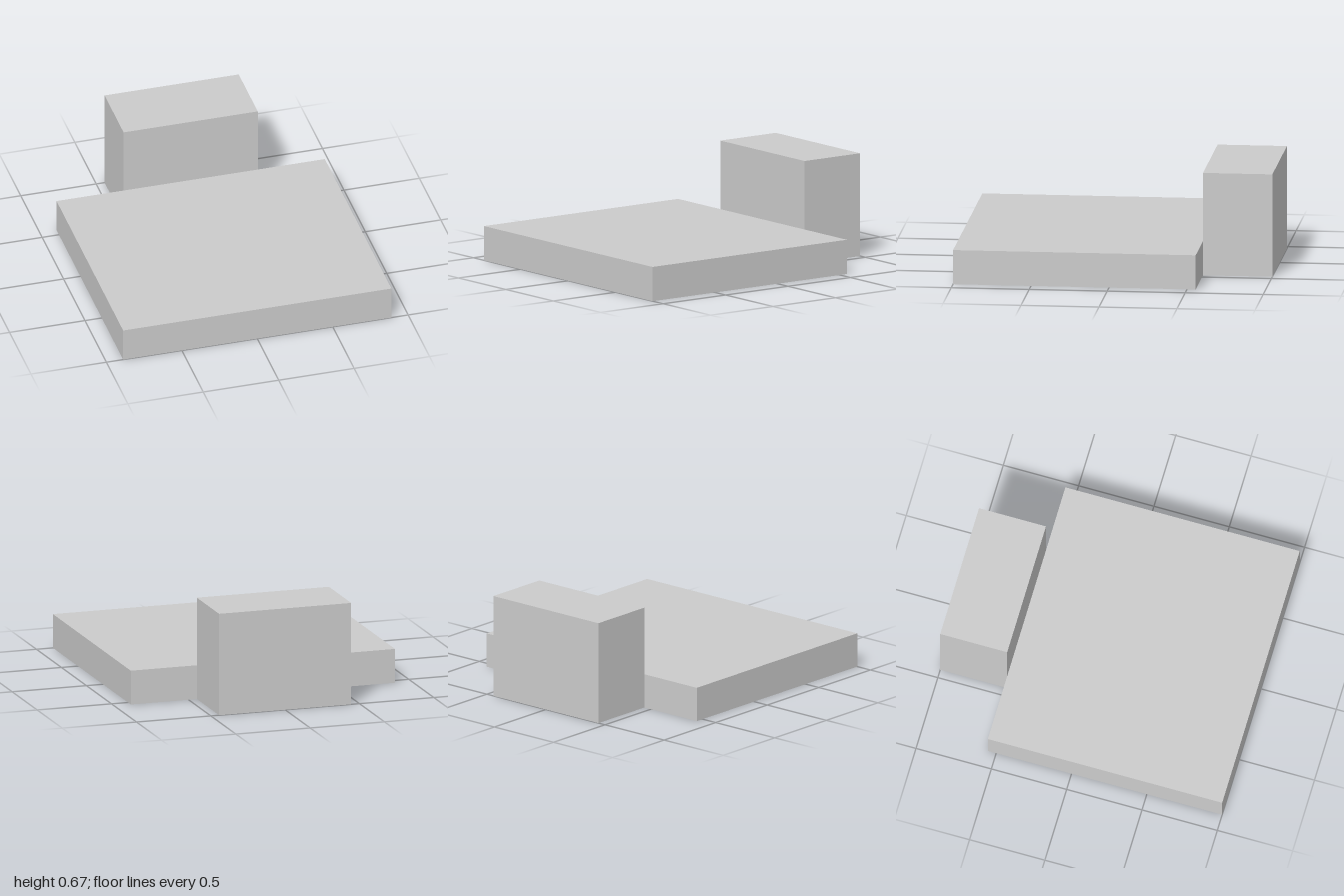
import * as THREE from 'three';

const U = 2 / 9; // one module of the design: the whole is 9 modules long

export function createModel() {
  const group = new THREE.Group();
  const material = new THREE.MeshStandardMaterial({ color: 0xcccccc, flatShading: true });

  // Box standing on the ground, sizes in modules, placed by its back edge
  const addBlock = (name, width, height, depth, back) => {
    const mesh = new THREE.Mesh(new THREE.BoxGeometry(width * U, height * U, depth * U), material);
    mesh.name = name;
    mesh.position.set(0, height * U / 2, (back + depth / 2) * U);
    group.add(mesh);
  };

  // Wide flat slab at the front
  addBlock('baseSlab', 8, 1, 7, -2.5);
  // Taller block against the middle of the slab's back edge
  addBlock('backBlock', 4, 3, 2, -4.5);

  return group;
}
